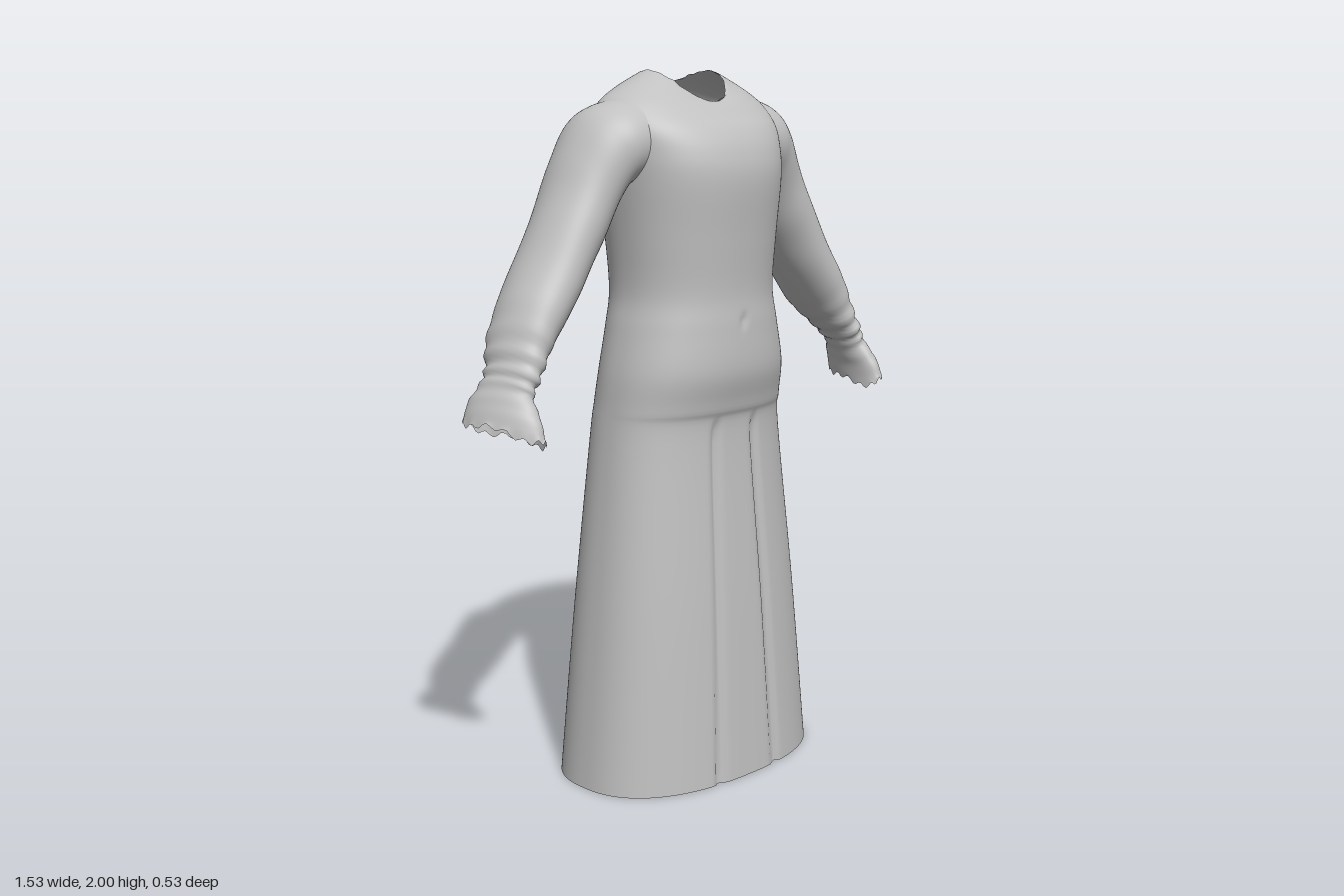
import * as THREE from 'three';

// Smoothly resample a short table of cross-section rows
function resample(rows, steps) {
  const out = [];
  for (let i = 0; i < rows.length - 1; i++) {
    const p = rows[Math.max(i - 1, 0)], a = rows[i], b = rows[i + 1];
    const q = rows[Math.min(i + 2, rows.length - 1)];
    const last = i === rows.length - 2;
    for (let k = 0; k < steps + (last ? 1 : 0); k++) {
      const t = k / steps;
      out.push(a.map((v, j) => 0.5 * (2 * v + (b[j] - p[j]) * t
        + (2 * p[j] - 5 * v + 4 * b[j] - q[j]) * t * t
        + (3 * v - p[j] - 3 * b[j] + q[j]) * t * t * t)));
    }
  }
  return out;
}

// Open tube of cloth through closed rings of points
function loft(count, segments, pointAt, flip) {
  const pos = [], index = [];
  for (let j = 0; j < count; j++) {
    for (let i = 0; i < segments; i++) {
      pos.push(...pointAt(j, (i / segments) * Math.PI * 2));
      if (j === count - 1) continue;
      const n = (i + 1) % segments;
      const a = j * segments + i, b = j * segments + n;
      const c = a + segments, d = b + segments;
      if (flip) index.push(a, c, b, b, c, d);
      else index.push(a, b, c, b, d, c);
    }
  }
  const g = new THREE.BufferGeometry();
  g.setAttribute('position', new THREE.Float32BufferAttribute(pos, 3));
  g.setIndex(index);
  g.computeVertexNormals();
  return g;
}

const bump = (v, width) => Math.exp(-((v / width) ** 2));
const step = THREE.MathUtils.smoothstep;
const lerp = THREE.MathUtils.lerp;

// half width, side z, front z, back z, front y, side y, back y, squareness
const bodyRows = [
  [0.41, 0, 0.265, -0.265, 0, 0, 0, 2.4],
  [0.36, 0, 0.235, -0.235, 0.5, 0.5, 0.5, 2.4],
  [0.308, 0, 0.2, -0.2, 0.98, 0.98, 0.98, 2.35],
  [0.298, 0.01, 0.212, -0.195, 1.08, 1.08, 1.08, 2.3],
  [0.288, 0.02, 0.235, -0.185, 1.18, 1.18, 1.18, 2.25],
  [0.265, 0.02, 0.232, -0.176, 1.3, 1.3, 1.3, 2.2],
  [0.247, 0.02, 0.225, -0.175, 1.4, 1.4, 1.4, 2.2],
  [0.255, 0.02, 0.235, -0.19, 1.55, 1.55, 1.55, 2.2],
  [0.272, 0.01, 0.247, -0.205, 1.7, 1.7, 1.7, 2.2],
  [0.287, -0.01, 0.235, -0.205, 1.78, 1.78, 1.78, 2.2],
  [0.3, -0.02, 0.205, -0.195, 1.84, 1.85, 1.835, 2.1],
  [0.28, -0.03, 0.165, -0.17, 1.88, 1.91, 1.89, 2],
  [0.215, -0.03, 0.135, -0.15, 1.905, 1.955, 1.935, 2],
  [0.12, -0.03, 0.11, -0.125, 1.915, 2, 1.965, 2],
];

function robeBody() {
  const rows = resample(bodyRows, 7);
  return loft(rows.length, 192, (j, t) => {
    const [hw, cz, zf, zb, yf, ys, yb, n] = rows[j];
    const c = Math.cos(t), s = Math.sin(t);
    const x = hw * Math.sign(c) * Math.abs(c) ** (2 / n);
    const depth = Math.abs(s) ** (2 / n);
    let y = lerp(ys, s > 0 ? yf : yb, s * s);
    let z = cz + depth * ((s > 0 ? zf : zb) - cz);
    if (s > 0) {
      // two long front creases and the belly above them
      const crease = lerp(0.115, 0.075, Math.min(y / 1.05, 1));
      z -= 0.014 * bump(Math.abs(x) - crease, 0.012) * (1 - step(y, 1.0, 1.06));
      z -= 0.008 * bump(x, 0.012) * bump(y - 1.32, 0.015);
    } else {
      // back seam and the soft furrow of the spine
      z += 0.016 * bump(x, 0.01) * (1 - step(y, 1.05, 1.14));
      z += 0.009 * bump(x, 0.035) * step(y, 1.2, 1.3) * (1 - step(y, 1.75, 1.88));
    }
    // frayed neckline
    if (j === rows.length - 1) y -= 0.006 * (1 + Math.sin(t * 13) * Math.sin(t * 7)) * Math.abs(s);
    return [x, y, z];
  }, true);
}

// upper edge x, y, lower edge x, y, front z, back z, twist
const sleeveRows = [
  [0.2, 1.93, 0.2, 1.7, 0.12, -0.13, 0],
  [0.3, 1.91, 0.265, 1.68, 0.12, -0.155, 0],
  [0.365, 1.87, 0.292, 1.635, 0.105, -0.157, 0],
  [0.42, 1.78, 0.325, 1.565, 0.092, -0.152, 0],
  [0.47, 1.675, 0.37, 1.49, 0.09, -0.15, 0],
  [0.54, 1.545, 0.43, 1.41, 0.095, -0.143, 0],
  [0.62, 1.42, 0.51, 1.305, 0.095, -0.13, 0],
  [0.665, 1.32, 0.57, 1.245, 0.1, -0.112, 0.1],
  [0.69, 1.25, 0.615, 1.195, 0.105, -0.075, 0.2],
  [0.712, 1.205, 0.64, 1.16, 0.11, -0.062, 0.35],
  [0.745, 1.15, 0.65, 1.105, 0.15, -0.075, 0.5],
  [0.763, 1.1, 0.653, 1.05, 0.175, -0.08, 0.55],
];

function sleeve(side) {
  const rows = resample(sleeveRows, 6);
  return loft(rows.length, 64, (j, t) => {
    const [ox, oy, ux, uy, zf, zb, k] = rows[j];
    const f = j / (rows.length - 1);
    const c = Math.cos(t), s = Math.sin(t);
    // wrinkles gather around the wrist
    const w = 1 + 0.07 * bump(f - 0.74, 0.12) * Math.sin(f * 95 + 2 * s)
      + 0.015 * Math.sin(f * 32 + 2 * t) * step(f, 0.15, 0.4);
    const x = (ox + ux) / 2 + ((ox - ux) / 2) * c * w;
    let y = (oy + uy) / 2 + ((oy - uy) / 2) * c * w;
    const z = (zf + zb) / 2 + ((zf - zb) / 2) * w * (Math.sqrt(1 - k * k) * s - k * c);
    // ragged cuff edge
    y += 0.014 * step(f, 0.96, 1) * Math.sin(t * 9) * Math.cos(t * 5 + 1);
    return [side * x, y, z];
  }, side < 0);
}

export function createModel() {
  const cloth = new THREE.MeshStandardMaterial({ color: 0xc0c0c0 });
  cloth.name = 'grey cloth';
  cloth.side = THREE.DoubleSide;
  const group = new THREE.Group();
  group.name = 'robe';
  const add = (name, geometry) => {
    const mesh = new THREE.Mesh(geometry, cloth);
    mesh.name = name;
    group.add(mesh);
  };
  add('robeBody', robeBody());
  add('leftSleeve', sleeve(1));
  add('rightSleeve', sleeve(-1));
  return group;
}
